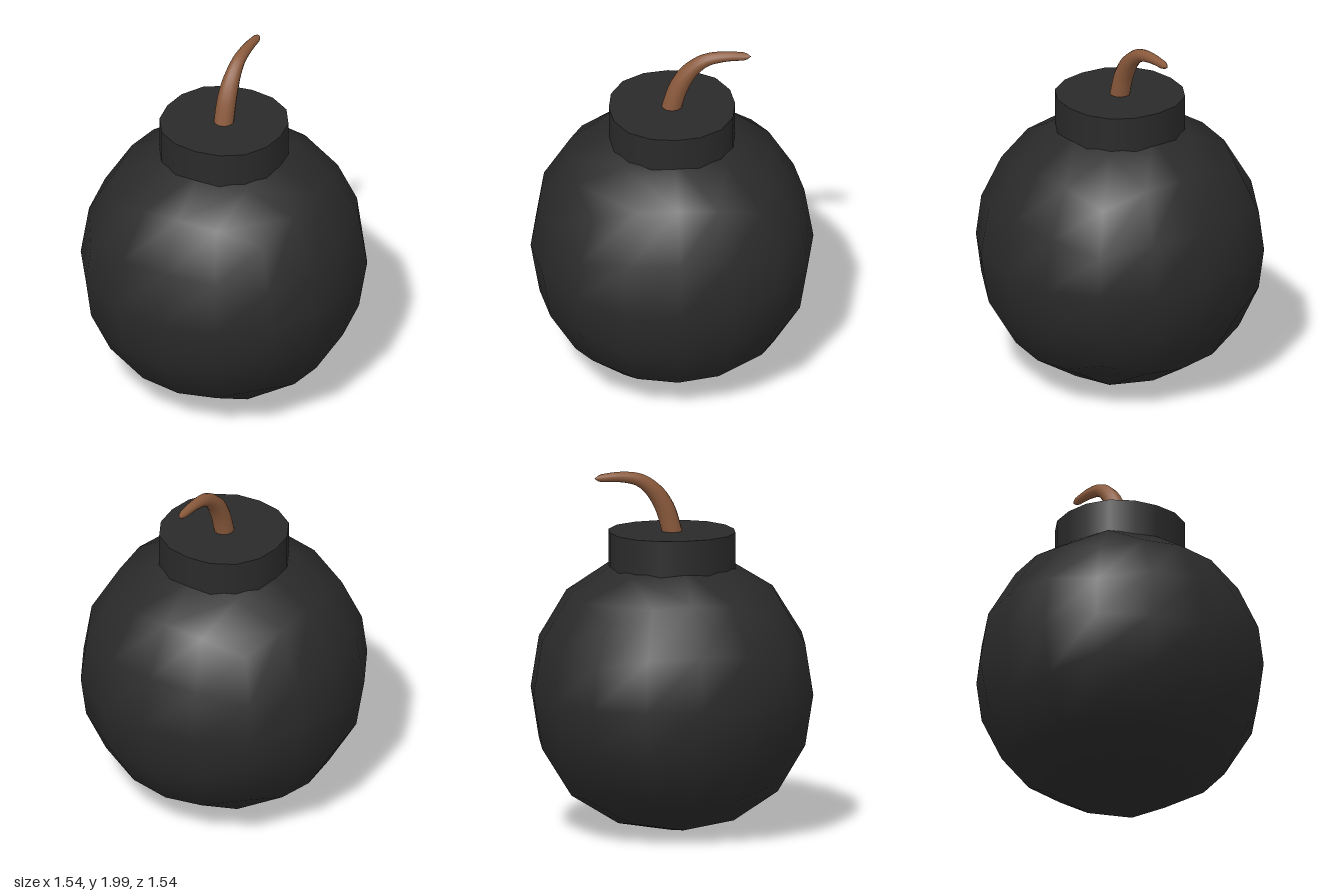
import * as THREE from 'three';
import { mergeVertices } from 'three/addons/utils/BufferGeometryUtils.js';

// Move every vertex of a geometry by a rule
function reshape(geometry, rule) {
  const pos = geometry.attributes.position;
  const v = new THREE.Vector3();
  for (let i = 0; i < pos.count; i++) {
    rule(v.fromBufferAttribute(pos, i), i);
    pos.setXYZ(i, v.x, v.y, v.z);
  }
  return geometry;
}

// Cube rounded into a ball, very slightly fuller towards its edges and corners
function ballGeometry(radius) {
  const box = new THREE.BoxGeometry(2, 2, 2, 4, 4, 4);
  box.deleteAttribute('normal');
  box.deleteAttribute('uv');
  const ball = mergeVertices(box);
  const even = (a) => Math.tan((a * Math.PI) / 4);
  reshape(ball, (v) => {
    v.set(even(v.x), even(v.y), even(v.z)).normalize();
    const fullness = 1 - (v.x ** 4 + v.y ** 4 + v.z ** 4);
    v.multiplyScalar(radius * (1 + 0.055 * fullness));
  });
  ball.computeVertexNormals();
  return ball;
}

// Short collar, a little wider on the diagonals
function neckGeometry(bottom, top) {
  const neck = new THREE.CylinderGeometry(1, 1, top - bottom, 16);
  neck.translate(0, (top + bottom) / 2, 0);
  return reshape(neck, (v) => {
    const r = 0.345 + 0.014 * Math.sin(2 * Math.atan2(v.z, v.x)) ** 2;
    v.x *= r;
    v.z *= r;
  });
}

// Tube that bends backwards and tapers to a rounded tip
function fuseGeometry() {
  const path = new THREE.CatmullRomCurve3([
    [1.62, 0.01], [1.66, 0], [1.79, -0.04], [1.885, -0.1],
    [1.947, -0.18], [1.968, -0.285], [1.963, -0.432],
  ].map(([y, z]) => new THREE.Vector3(0, y, z)));
  const radii = [0.055, 0.055, 0.054, 0.05, 0.042, 0.035, 0.03, 0.025, 0.02];
  const rings = 32, sides = 12;
  const tube = new THREE.TubeGeometry(path, rings, 1, sides);
  return reshape(tube, (v, i) => {
    const t = Math.floor(i / (sides + 1)) / rings;
    const s = t * (radii.length - 1);
    const k = Math.min(Math.floor(s), radii.length - 2);
    const tip = Math.sqrt(Math.min(1, (1 - t) / 0.06));
    const r = THREE.MathUtils.lerp(radii[k], radii[k + 1], s - k) * tip;
    const centre = path.getPointAt(t);
    v.sub(centre).multiplyScalar(r).add(centre);
  });
}

export function createModel() {
  const group = new THREE.Group();
  const iron = new THREE.MeshStandardMaterial({ color: 0x2a2a2a });
  const cord = new THREE.MeshStandardMaterial({ color: 0x8b5a3c });

  const add = (name, geometry, material) => {
    const mesh = new THREE.Mesh(geometry, material);
    mesh.name = name;
    group.add(mesh);
    return mesh;
  };

  add('body', ballGeometry(0.772), iron).position.y = 0.777;
  add('neck', neckGeometry(1.38, 1.66), iron);
  add('fuse', fuseGeometry(), cord);
  return group;
}
